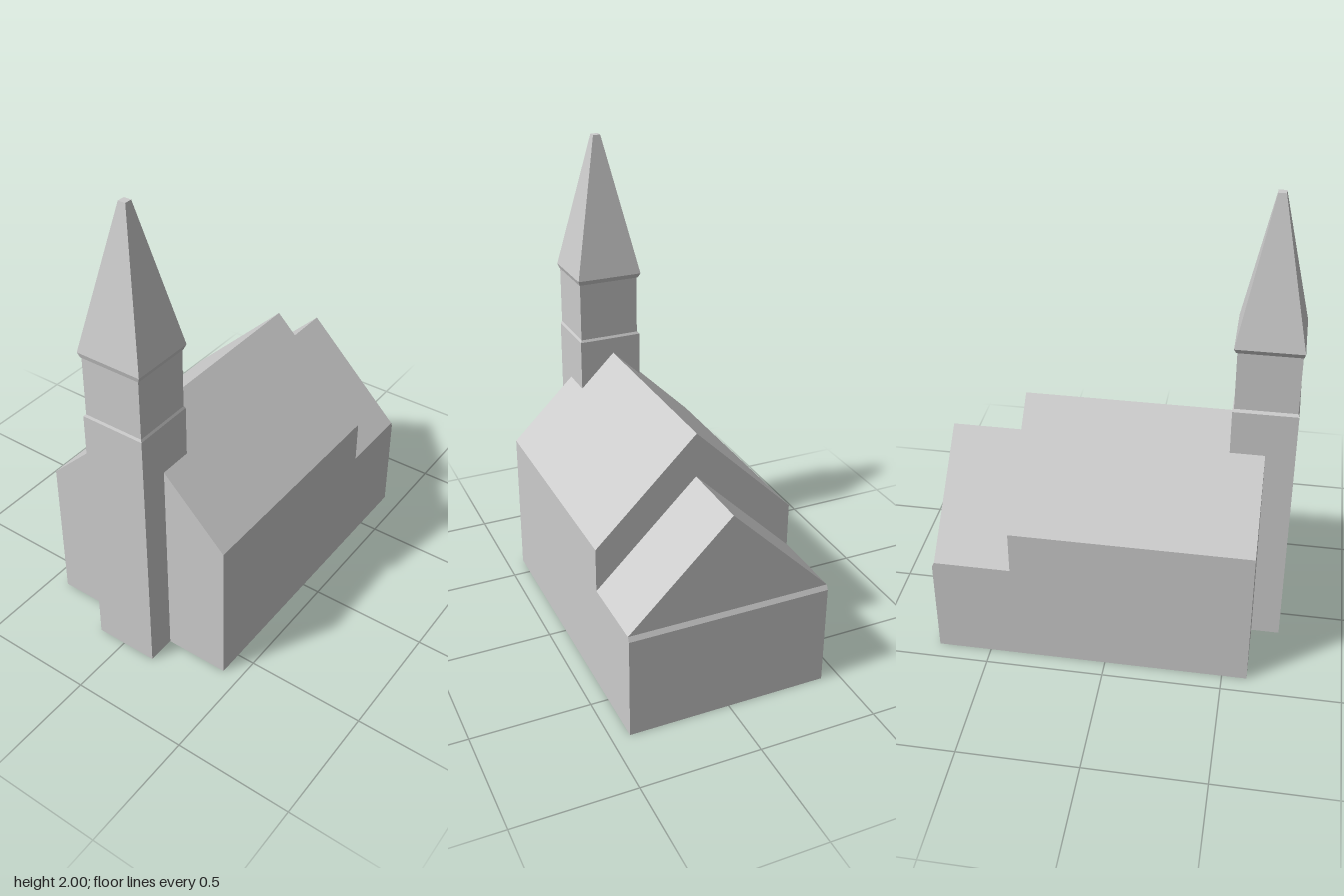
import * as THREE from 'three';

const material = new THREE.MeshStandardMaterial({ color: 0xcccccc, flatShading: true });

// Closed solid through stacked rectangles, each [y, x0, x1, z0, z1]; a ridge has x0 = x1.
function loft(name, sections) {
  const rings = sections.map(([y, x0, x1, z0, z1]) =>
    [[x0, z1], [x1, z1], [x1, z0], [x0, z0]].map(([x, z]) => new THREE.Vector3(x, y, z)));
  const points = [];
  const tri = (a, b, c) => {
    if (new THREE.Triangle(a, b, c).getArea() > 1e-8) points.push(a, b, c);
  };
  const quad = (a, b, c, d) => { tri(a, b, c); tri(a, c, d); };

  for (let s = 0; s < rings.length - 1; s++) {
    const low = rings[s], high = rings[s + 1];
    for (let i = 0; i < 4; i++) {
      const j = (i + 1) % 4;
      quad(low[i], low[j], high[j], high[i]);
    }
  }
  quad(...[...rings[0]].reverse());
  quad(...rings[rings.length - 1]);

  const geometry = new THREE.BufferGeometry().setFromPoints(points);
  geometry.computeVertexNormals();
  const mesh = new THREE.Mesh(geometry, material);
  mesh.name = name;
  return mesh;
}

export function createModel() {
  const model = new THREE.Group();
  model.name = 'church';
  const w = 0.425;

  // Main hall with gable roof
  model.add(loft('nave', [
    [0, -w, w, -0.395, 0.605],
    [0.643, -w, w, -0.395, 0.605],
    [1.06, 0, 0, -0.395, 0.605],
  ]));

  // Lower rear hall, its gable set slightly in from the end wall
  model.add(loft('chancel', [
    [0, -w, w, -0.727, -0.395],
    [0.435, -w, w, -0.727, -0.395],
    [0.455, -w, w, -0.717, -0.395],
    [0.873, 0, 0, -0.717, -0.395],
  ]));

  // Bell tower, narrowing at a ledge and flaring to the eaves
  model.add(loft('tower', [
    [0, -0.126, 0.15, 0.463, 0.725],
    [1.13, -0.126, 0.15, 0.463, 0.725],
    [1.14, -0.116, 0.145, 0.469, 0.72],
    [1.393, -0.116, 0.145, 0.469, 0.72],
  ]));

  // Spire with flared eave and small flat tip
  model.add(loft('spire', [
    [1.393, -0.12, 0.148, 0.465, 0.722],
    [1.413, -0.13, 0.155, 0.456, 0.727],
    [2, -0.002, 0.03, 0.575, 0.606],
  ]));

  return model;
}
